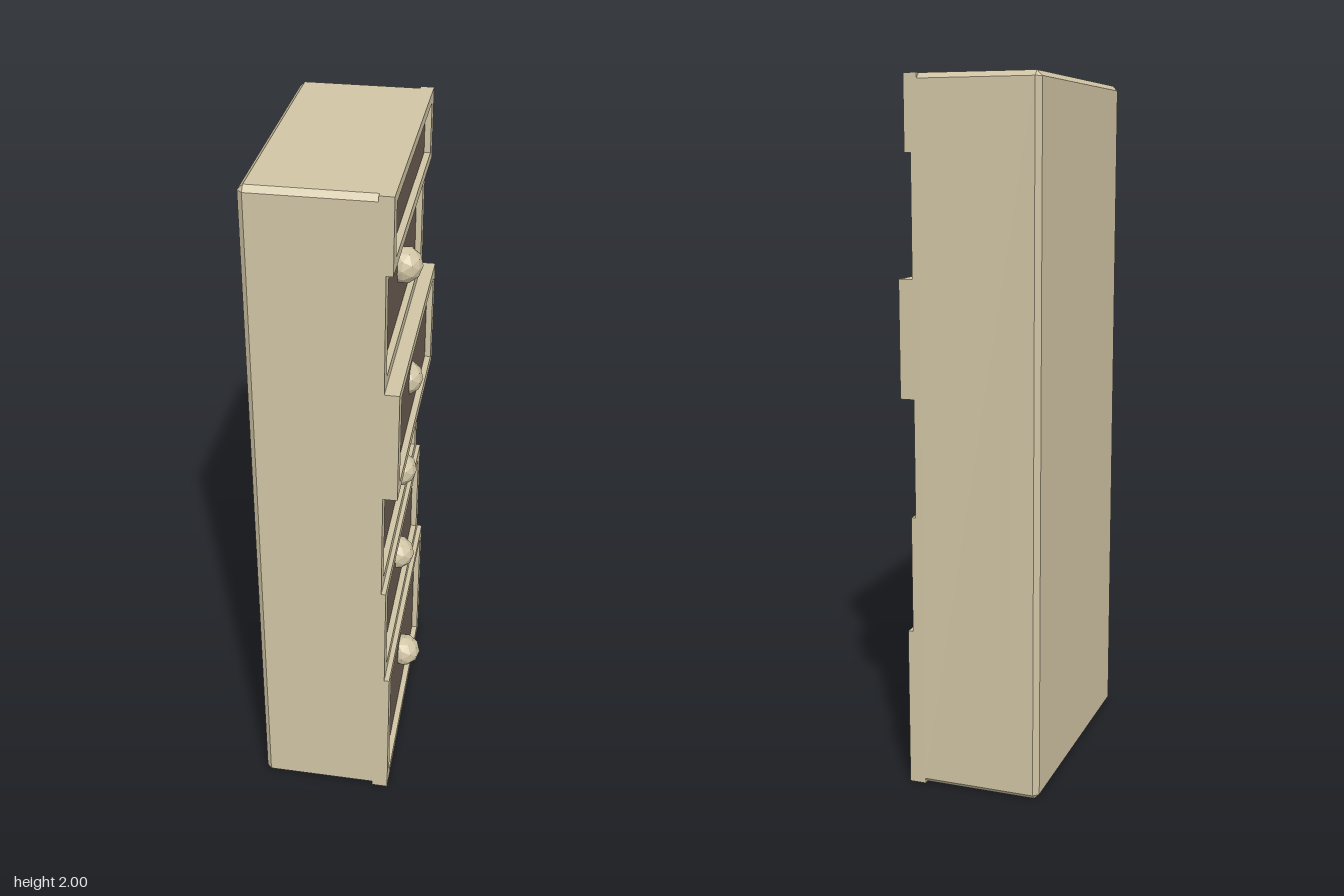
import * as THREE from 'three';
import { ConvexGeometry } from 'three/addons/geometries/ConvexGeometry.js';

const WOOD = new THREE.MeshStandardMaterial({ color: 0xd0c4a4, flatShading: true });
const DARK = new THREE.MeshStandardMaterial({ color: 0x6b5d50, flatShading: true });
const HALF_WIDTH = 0.385, BACK = -0.22, CABINET_FRONT = 0.122, RECESS = 0.018;

function add(parent, name, geometry, material, x = 0, y = 0, z = 0) {
  const mesh = new THREE.Mesh(geometry, material);
  mesh.name = name;
  mesh.position.set(x, y, z);
  parent.add(mesh);
  return mesh;
}

// Closed carcass, chamfered round the back and along its four long edges
function cabinetGeometry() {
  const c = 0.015, points = [];
  for (const sy of [-1, 1]) for (const sz of [-1, 1]) {
    const p = (x, dy, dz) => points.push(new THREE.Vector3(x, 1 + sy * (1 - dy), sz * (HALF_WIDTH - dz)));
    p(BACK, c, c);
    p(BACK + c, 0, c);
    p(BACK + c, c, 0);
    p(CABINET_FRONT, 0, c);
    p(CABINET_FRONT, c, 0);
  }
  return new ConvexGeometry(points);
}

function rectangle(Type, w, y0, y1) {
  const r = new Type();
  r.moveTo(-w, y0);
  r.lineTo(w, y0);
  r.lineTo(w, y1);
  r.lineTo(-w, y1);
  r.closePath();
  return r;
}

// Drawer facing +x: raised frame, recessed dark panel, optional knob
function drawer({ y0, y1, front, knobY, knobX }) {
  const group = new THREE.Group();
  group.name = 'drawer';
  const edge = 0.03, w = 0.342;
  const shape = rectangle(THREE.Shape, HALF_WIDTH, y0, y1);
  shape.holes.push(rectangle(THREE.Path, w, y0 + edge, y1 - edge));
  const frame = new THREE.ExtrudeGeometry(shape, { depth: front - CABINET_FRONT, bevelEnabled: false });
  frame.rotateY(Math.PI / 2);
  add(group, 'drawerFrame', frame, WOOD, CABINET_FRONT);

  const depth = front - RECESS - CABINET_FRONT + 0.02;
  add(group, 'drawerPanel', new THREE.BoxGeometry(depth, y1 - y0 - 2 * edge, 2 * w), DARK,
    front - RECESS - depth / 2, (y0 + y1) / 2, 0);
  if (knobY) add(group, 'knob', new THREE.IcosahedronGeometry(0.052, 1), WOOD, knobX, knobY, 0);
  return group;
}

export function createModel() {
  const model = new THREE.Group();
  model.name = 'chestOfDrawers';
  add(model, 'cabinet', cabinetGeometry(), WOOD);

  // Fronts stand out by different amounts, bottom to top
  [
    { y0: 0, y1: 0.46, front: 0.17, knobY: 0.235, knobX: 0.166 },
    { y0: 0.46, y1: 0.795, front: 0.155, knobY: 0.645, knobX: 0.137 },
    { y0: 0.795, y1: 1.13, front: 0.142, knobY: 0.965, knobX: 0.137 },
    { y0: 1.13, y1: 1.46, front: 0.182, knobY: 1.285, knobX: 0.147 },
    { y0: 1.46, y1: 1.795, front: 0.142, knobY: 1.64, knobX: 0.137 },
    { y0: 1.795, y1: 2, front: 0.16 },
  ].forEach((d) => model.add(drawer(d)));
  return model;
}
